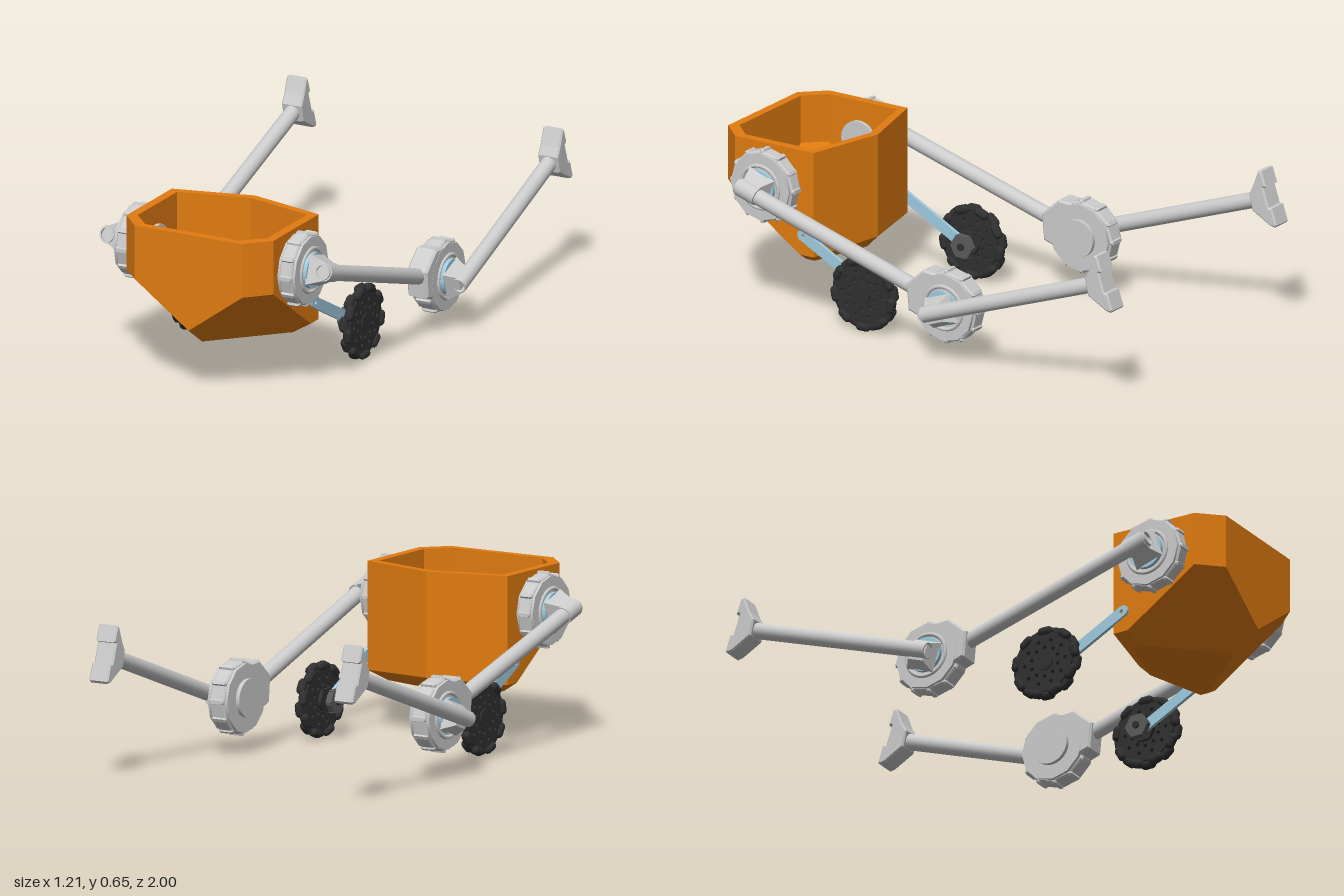
import * as THREE from 'three';

const mat = (color, opts = {}) => new THREE.MeshStandardMaterial({ color, ...opts });
const GREY = mat(0xcccccc), ORANGE = mat(0xe07b10), BLUE = mat(0x9fcbe0), DARK = mat(0x303030);
const V = (x, y, z) => new THREE.Vector3(x, y, z);

function add(parent, name, geometry, material) {
  const mesh = new THREE.Mesh(geometry, material);
  mesh.name = name;
  parent.add(mesh);
  return mesh;
}

// Round bar between two points, r1 at a and r2 at b
function rod(a, b, r1, r2 = r1, sides = 24) {
  const d = b.clone().sub(a), g = new THREE.CylinderGeometry(r2, r1, d.length(), sides);
  g.applyQuaternion(new THREE.Quaternion().setFromUnitVectors(V(0, 1, 0), d.normalize()));
  return g.translate(...a.clone().add(b).multiplyScalar(0.5).toArray());
}

// Hollow pipe between two points
function pipe(a, b, r) {
  const d = b.clone().sub(a), len = d.length(), q = r * 0.82;
  const pts = [[q, 0], [r, 0], [r, 0], [r, len], [r, len], [q, len], [q, len], [q, 0]];
  const g = new THREE.LatheGeometry(pts.map(p => new THREE.Vector2(...p)), 24);
  g.applyQuaternion(new THREE.Quaternion().setFromUnitVectors(V(0, 1, 0), d.normalize()));
  return g.translate(a.x, a.y, a.z);
}

// Extrude a (z, y) shape along x, centred on x
function extrudeX(shape, x, width, bevel = 0) {
  const g = new THREE.ExtrudeGeometry(shape, {
    depth: width - 2 * bevel, curveSegments: 16, bevelEnabled: bevel > 0,
    bevelSize: bevel, bevelThickness: bevel, bevelOffset: -bevel, bevelSegments: 1,
  });
  return g.translate(0, 0, -width / 2 + bevel).rotateY(-Math.PI / 2).translate(x, 0, 0);
}
const poly = pts => new THREE.Shape(pts.map(p => new THREE.Vector2(...p)));

// Twelve-sided motor housing outline with a small lug at each corner
function lugShape(r, n = 12) {
  const pts = [];
  for (let i = 0; i < n; i++) {
    const a = (i / n) * Math.PI * 2;
    for (const [da, k] of [[-0.07, 0.955], [-0.05, 1], [0.05, 1], [0.07, 0.94], [0.26, 0.93]])
      pts.push([Math.cos(a + da) * r * k, Math.sin(a + da) * r * k]);
  }
  return poly(pts);
}

// Faceted open bin: outer shell, inner shell and rim
function binGeometry() {
  const P = {
    T0: [0, .66, 1], T1: [.233, .66, 1], T2: [.318, .66, .91], T3: [.318, .66, .55], T4: [0, .66, .47],
    L0: [0, .275, 1], L1: [.233, .445, 1], L2: [.318, .445, .91], L3: [.318, .24, .613],
    L5: [.318, .24, .55], L4: [0, .25, .47],
    F0: [0, .2, .893], F1: [.25, .2, .63], F2: [.25, .2, .59], F4: [0, .2, .52],
  };
  const faces = ['T0 L0 L1 T1', 'T1 L1 L2 T2', 'T2 L2 L3 L5 T3', 'T3 L5 L4 T4', 'L0 F0 F1 L3 L2 L1',
    'L3 F1 F2 L5', 'L5 F2 F4 L4', 'F0 F4 F2 F1'];
  const outer = k => V(...P[k]);
  const inner = k => V(P[k][0] * .885, k[0] === 'T' ? .66 : P[k][1] + .025, .735 + (P[k][2] - .735) * .87);
  const pos = [], centre = V(0, .45, .74);
  // Fan a polygon so it faces along the wanted direction
  const emit = (pts, want) => {
    const n = V(0, 0, 0);
    for (let i = 1; i < pts.length - 1; i++)
      n.add(pts[i].clone().sub(pts[0]).cross(pts[i + 1].clone().sub(pts[0])));
    const o = n.dot(want) < 0 ? [...pts].reverse() : pts;
    for (let i = 1; i < o.length - 1; i++) for (const p of [o[0], o[i], o[i + 1]]) pos.push(p.x, p.y, p.z);
  };
  for (const s of [1, -1]) {
    const side = v => V(v.x * s, v.y, v.z);
    for (const f of faces) for (const shell of [outer, inner]) {
      const pts = f.split(' ').map(k => side(shell(k)));
      const mid = pts.reduce((a, p) => a.add(p), V(0, 0, 0)).divideScalar(pts.length);
      const want = mid.sub(centre);
      emit(pts, shell === outer ? want : want.negate());
    }
    for (let i = 0; i < 4; i++) {
      const a = 'T' + i, b = 'T' + (i + 1);
      emit([outer(a), outer(b), inner(b), inner(a)].map(side), V(0, 1, 0));
    }
  }
  const g = new THREE.BufferGeometry();
  g.setAttribute('position', new THREE.Float32BufferAttribute(pos, 3));
  g.computeVertexNormals();
  return g.translate(.016, 0, 0);
}

// Motor housing with an output disc on the outer side and a cap on the inner side
function motor(parent, name, s, x, y, z, width, cap) {
  const g = new THREE.Group();
  g.name = name;
  g.position.set(x, y, z);
  parent.add(g);
  const h = width / 2;
  const shell = lugShape(.148);
  add(g, 'housing', extrudeX(shell, 0, width * .72, .006), GREY);
  add(g, 'housingCore', rod(V(-h, 0, 0), V(h, 0, 0), .134, .134, 12), GREY);
  add(g, 'outerRing', new THREE.TorusGeometry(.085, .008, 8, 32).rotateY(Math.PI / 2).translate(s * h, 0, 0), GREY);
  add(g, 'outputDisc', rod(V(s * h, 0, 0), V(s * (h + .016), 0, 0), .07), BLUE);
  add(g, 'innerCap', rod(V(-s * h, 0, 0), V(-s * (h + cap), 0, 0), .075), GREY);
}

// Square tapered bracket from a motor to a bar
function bracket(parent, name, x0, x1, y, z, tilt) {
  const g = new THREE.CylinderGeometry(.05, .085, Math.abs(x1 - x0), 4).toNonIndexed();
  g.computeVertexNormals();
  g.rotateY(Math.PI / 4).rotateZ(x1 > x0 ? -Math.PI / 2 : Math.PI / 2).rotateX(tilt);
  add(parent, name, g.translate((x0 + x1) / 2, y, z), GREY);
}

function leg(d) {
  const { s } = d, g = new THREE.Group();
  g.name = s > 0 ? 'leftLeg' : 'rightLeg';
  motor(g, 'shoulderMotor', s, d.wall + s * .037, .507, .745, .076, .05);
  bracket(g, 'shoulderBracket', d.wall + s * .088, d.armX, .51, .745, -.32);
  add(g, 'upperArm', pipe(V(d.armX, .525, .795), V(d.elbowX, d.elbowY + .02, -.04), .031), GREY);
  add(g, 'shoulderCollar', rod(V(d.armX, .522, .785), V(d.armX, .497, .705), .036), GREY);

  // Elbow: socket, motor and bracket
  const ey = d.elbowY;
  const socket = poly([[.01, .055], [0, -.05], [-.06, -.07], [-.13, -.07], [-.13, .12], [-.07, .125]]);
  add(g, 'elbowSocket', extrudeX(socket, d.elbowX, .088, .008).translate(0, ey, 0), GREY);
  motor(g, 'elbowMotor', s, d.elbowX, ey - .008, -.165, .09, .016);
  bracket(g, 'elbowBracket', d.elbowX + s * .058, d.foreX, ey - .015, -.165, .35);

  // Forearm and foot
  const start = V(d.foreX, ey - .025, -.12), end = V(d.footX, d.footY - .025, -.9);
  add(g, 'forearm', pipe(start, end, .031), GREY);
  const foot = poly([[.06, .0], [.045, -.065], [-.035, -.11], [-.058, -.115], [-.067, -.105], [-.045, -.04],
    [-.03, -.04], [-.005, .035], [-.018, .04], [.003, .1], [.018, .1], [.042, .035]]);
  add(g, 'foot', extrudeX(foot, d.footX, .086, .006).translate(0, d.footY, -.93), GREY);
  return g;
}

function wheelUnit(d) {
  const { s } = d, g = new THREE.Group(), c = [.16, .285];
  g.name = s > 0 ? 'leftWheelUnit' : 'rightWheelUnit';
  // Flat strut from the body to the wheel motor
  const strut = new THREE.Shape();
  strut.absarc(0, 0, .022, Math.PI / 2, Math.PI * 1.5);
  strut.absarc(.335, 0, .022, -Math.PI / 2, Math.PI / 2);
  strut.holes.push(new THREE.Path().absarc(.33, 0, .008, 0, Math.PI * 2, true));
  const sg = extrudeX(strut, 0, .014).rotateX(-Math.atan2(.16, .3));
  add(g, 'strut', sg.translate(d.strutX, c[0] + .005, c[1] + .015), BLUE);

  const wheel = new THREE.Group();
  wheel.name = 'wheel';
  wheel.position.set(d.wheelX, ...c);
  g.add(wheel);
  // Perforated side plates
  const plate = new THREE.Shape().absarc(0, 0, .122, 0, Math.PI * 2);
  for (let i = 0; i < 20; i++) {
    const a = (i / 20) * Math.PI * 2, r = i % 2 ? .06 : .09;
    plate.holes.push(new THREE.Path().absarc(Math.cos(a) * r, Math.sin(a) * r, .008, 0, Math.PI * 2, true));
  }
  add(wheel, 'plate', extrudeX(plate, 0, .03), DARK);
  add(wheel, 'hub', rod(V(-.021, 0, 0), V(.021, 0, 0), .035), DARK);
  // Two staggered rows of barrel rollers
  const n = 9;
  for (let i = 0; i < n * 2; i++) {
    const a = (i / (n * 2)) * Math.PI * 2;
    const roller = new THREE.CapsuleGeometry(.018, .028, 5, 12).rotateX(Math.PI / 2);
    roller.translate(i % 2 ? .008 : -.008, .13, 0).rotateX(a);
    add(wheel, 'roller', roller, DARK);
  }
  // Small drive motor on the inner side of the wheel
  const at = t => V(d.wheelX - s * t, ...c);
  add(g, 'axle', rod(at(0), at(.09), .014), DARK);
  add(g, 'motorFlange', extrudeX(lugShape(.05, 6), 0, .014).translate(...at(.028).toArray()), DARK);
  add(g, 'driveMotor', extrudeX(lugShape(.05, 6), 0, .024).translate(...at(.07).toArray()), mat(0x5a5a5a));
  return g;
}

export function createModel() {
  const model = new THREE.Group();
  model.name = 'leggedCart';
  add(model, 'bin', binGeometry(), ORANGE);
  const sides = [
    { s: -1, wall: -.3, armX: -.45, elbowX: -.452, elbowY: .255, foreX: -.56, footX: -.56, footY: .53,
      wheelX: -.355, strutX: -.305 },
    { s: 1, wall: .334, armX: .483, elbowX: .462, elbowY: .235, foreX: .573, footX: .549, footY: .505,
      wheelX: .377, strutX: .337 },
  ];
  for (const d of sides) model.add(leg(d), wheelUnit(d));
  return model;
}
